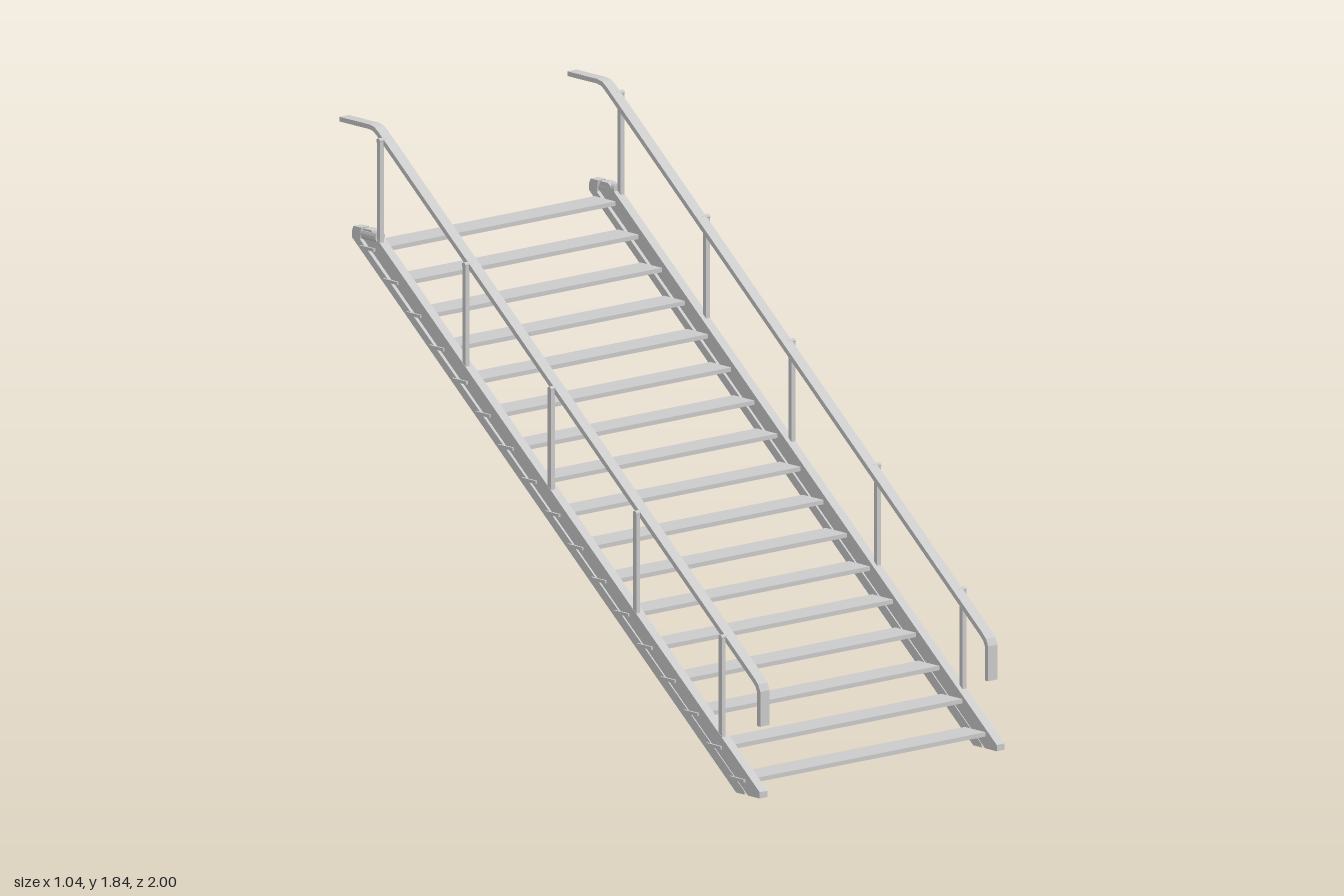
import * as THREE from 'three';

const material = new THREE.MeshStandardMaterial({ color: 0xcccccc, flatShading: true });

// Mesh with a name, added to its parent
function add(parent, name, geometry, x = 0, y = 0, z = 0) {
  const mesh = new THREE.Mesh(geometry, material);
  mesh.name = name;
  mesh.position.set(x, y, z);
  parent.add(mesh);
  return mesh;
}

// Side outline given as [z, y] points, made solid between x0 and x1
function sidePlate(points, x0, x1) {
  const shape = new THREE.Shape(points.map(([z, y]) => new THREE.Vector2(z, y)));
  const geometry = new THREE.ExtrudeGeometry(shape, { depth: x1 - x0, bevelEnabled: false });
  return geometry.rotateY(-Math.PI / 2).translate(x1, 0, 0);
}

// Outline of a bent flat bar of even thickness along a [z, y] path
function barOutline(path, thickness) {
  const pts = path.map(([z, y]) => new THREE.Vector2(z, y));
  const sides = [[], []];
  pts.forEach((p, i) => {
    const a = p.clone().sub(pts[Math.max(i - 1, 0)]).normalize();
    const b = pts[Math.min(i + 1, pts.length - 1)].clone().sub(p).normalize();
    const t = a.clone().add(b).normalize();
    const ref = i === 0 ? b : a;
    const d = thickness / 2 / t.dot(ref);
    sides[0].push([p.x - t.y * d, p.y + t.x * d]);
    sides[1].unshift([p.x + t.y * d, p.y - t.x * d]);
  });
  return [...sides[0], ...sides[1]];
}

const SLOPE = 0.81;

// One side of the stair, built at +x
function buildSide(sign) {
  const side = new THREE.Group();
  side.name = sign > 0 ? 'leftSide' : 'rightSide';
  const X = (x0, x1) => (sign > 0 ? [x0, x1] : [-x1, -x0]);

  // Stringer: a deep upper bar and a slim lower bar, levelled off at both ends
  add(side, 'upperStringer', sidePlate([
    [0.945, 0], [1, 0], [1, 0.02], [-0.82, 1.494], [-0.833, 1.505],
    [-0.868, 1.505], [-0.88, 1.48],
  ], ...X(0.478, 0.511)));
  add(side, 'lowerStringer', sidePlate([
    [0.889, 0], [0.93, 0], [0.926, 0.012], [-0.886, 1.468], [-0.88, 1.505],
    [-0.915, 1.505], [-0.922, 1.49], [-0.922, 1.467],
  ], ...X(0.478, 0.511)));

  // Handrail: flat bar, turned down at the foot and level at the top
  add(side, 'handrail', sidePlate(barOutline([
    [0.977, 0.225], [0.977, 0.335], [0.968, 0.355], [0.95, 0.372],
    [-0.82, 1.814], [-0.838, 1.826], [-0.86, 1.83], [-1, 1.83],
  ], 0.015), ...X(0.456, 0.495)));

  // Posts with a small rounded cap hooked over the rail edge
  for (let i = 0; i < 5; i++) {
    const z = 0.813 - i * 0.403;
    const foot = 0.78 - SLOPE * z;
    const top = 1.146 - 0.8147 * z;
    add(side, 'post', new THREE.BoxGeometry(0.016, top - foot, 0.015),
      sign * 0.502, (top + foot) / 2, z);
    const cap = new THREE.CylinderGeometry(0.0085, 0.0085, 0.03, 10).rotateZ(Math.PI / 2);
    add(side, 'postCap', cap, sign * 0.496, top, z);
  }

  // Rounded fitting at the foot of the top post
  const knob = new THREE.CylinderGeometry(0.02, 0.02, 0.07, 14).rotateX(Math.PI / 2);
  add(side, 'topFitting', knob, sign * 0.497, 1.485, -0.84);
  return side;
}

export function createModel() {
  const model = new THREE.Group();
  model.name = 'staircase';
  model.add(buildSide(1), buildSide(-1));

  // Open treads, each with a narrower tenon through the stringers
  const treads = new THREE.Group();
  treads.name = 'treads';
  for (let i = 0; i < 17; i++) {
    const y = 0.045 + i * 0.0875;
    const z = 0.898 - i * 0.109;
    add(treads, 'tread', new THREE.BoxGeometry(0.958, 0.014, 0.098), 0, y, z);
    add(treads, 'tenon', new THREE.BoxGeometry(1.036, 0.01, 0.068), 0, y, z);
  }
  model.add(treads);
  return model;
}
